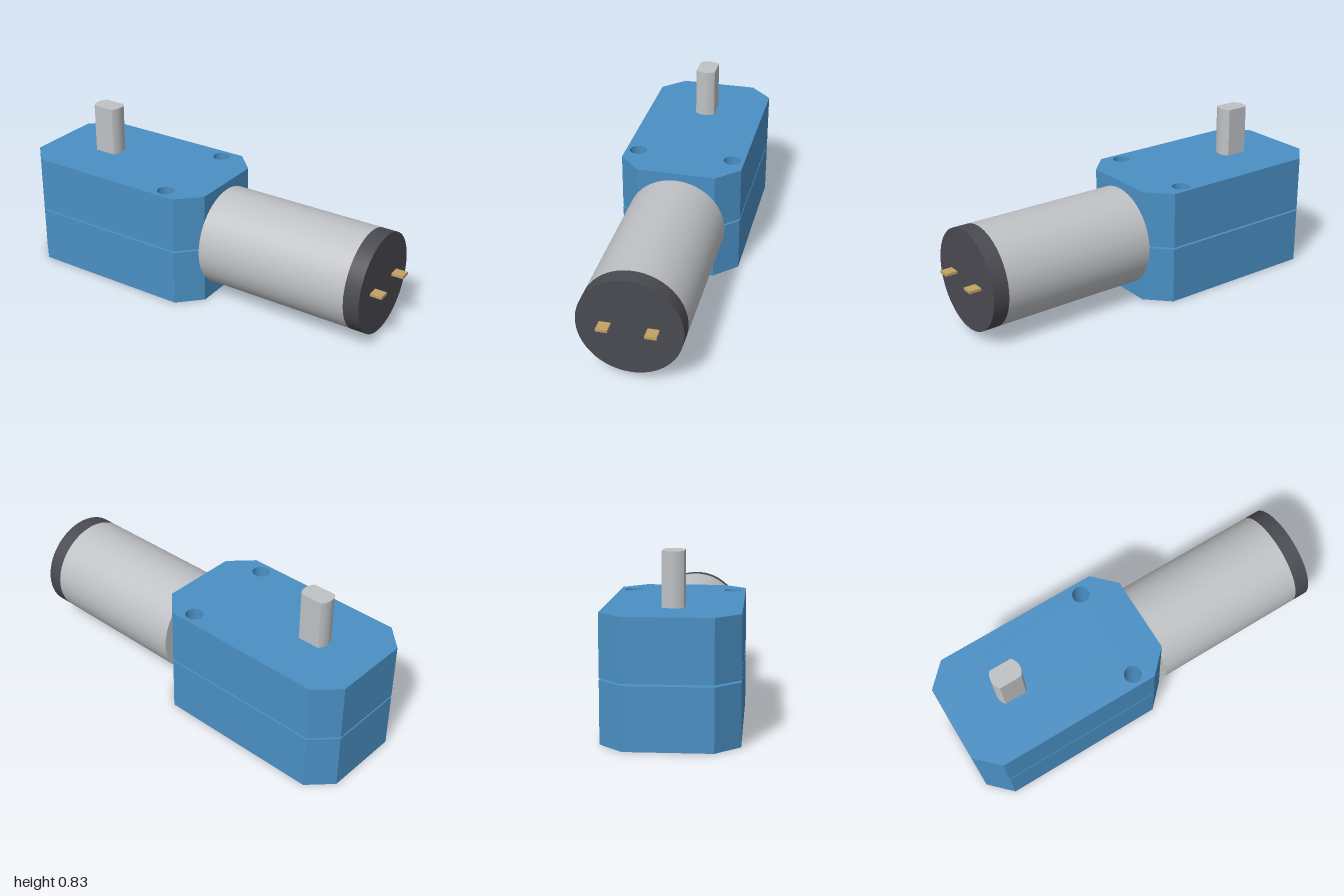
import * as THREE from 'three';

export function createModel() {
  const group = new THREE.Group();
  const material = (name, color) => {
    const m = new THREE.MeshStandardMaterial({ color });
    m.name = name;
    return m;
  };
  const blue = material('blue housing', 0x4a90c4);
  const steel = material('steel', 0xbfc1c4);
  const dark = material('dark cap', 0x4a4a52);
  const brass = material('brass', 0xc2a264);

  const add = (name, geometry, mat, x = 0, y = 0, z = 0) => {
    const mesh = new THREE.Mesh(geometry, mat);
    mesh.name = name;
    mesh.position.set(x, y, z);
    group.add(mesh);
    return mesh;
  };
  // Extrude a plan outline upwards
  const extrudeUp = (shape, height) =>
    new THREE.ExtrudeGeometry(shape, { depth: height, bevelEnabled: false, curveSegments: 24 })
      .rotateX(-Math.PI / 2);

  // Gearbox: two chamfered halves with a thin gap and two through holes
  const outline = new THREE.Shape([
    [-0.89, -0.308], [-0.05, -0.308], [0.06, -0.197], [0.06, 0.197],
    [-0.05, 0.308], [-0.89, 0.308], [-1, 0.197], [-1, -0.197],
  ].map(([x, y]) => new THREE.Vector2(x, y)));
  for (const side of [-1, 1]) {
    outline.holes.push(new THREE.Path().absarc(-0.136, side * 0.245, 0.043, 0, Math.PI * 2, true));
  }
  const half = extrudeUp(outline, 0.286);
  add('lowerHousing', half, blue);
  add('upperHousing', half, blue, 0, 0.295, 0);

  // Output shaft: round bar with two flats
  const r = 0.075;
  const a = Math.asin(0.05 / r);
  const section = new THREE.Shape();
  section.absarc(0, 0, r, -a, a, false);
  section.absarc(0, 0, r, Math.PI - a, Math.PI + a, false);
  section.closePath();
  add('outputShaft', extrudeUp(section, 0.26), steel, -0.675, 0.571, 0);

  // Motor can and end cap, lying along x
  const barrel = (length) => new THREE.CylinderGeometry(0.251, 0.251, length, 64).rotateZ(-Math.PI / 2);
  add('motorCan', barrel(0.8), steel, 0.46, 0.291, 0);
  add('motorEndCap', barrel(0.08), dark, 0.9, 0.291, 0);

  // Terminals
  for (const side of [-1, 1]) {
    add(side > 0 ? 'frontTerminal' : 'rearTerminal',
      new THREE.BoxGeometry(0.06, 0.013, 0.055), brass, 0.97, 0.297, side * 0.112);
  }
  return group;
}
